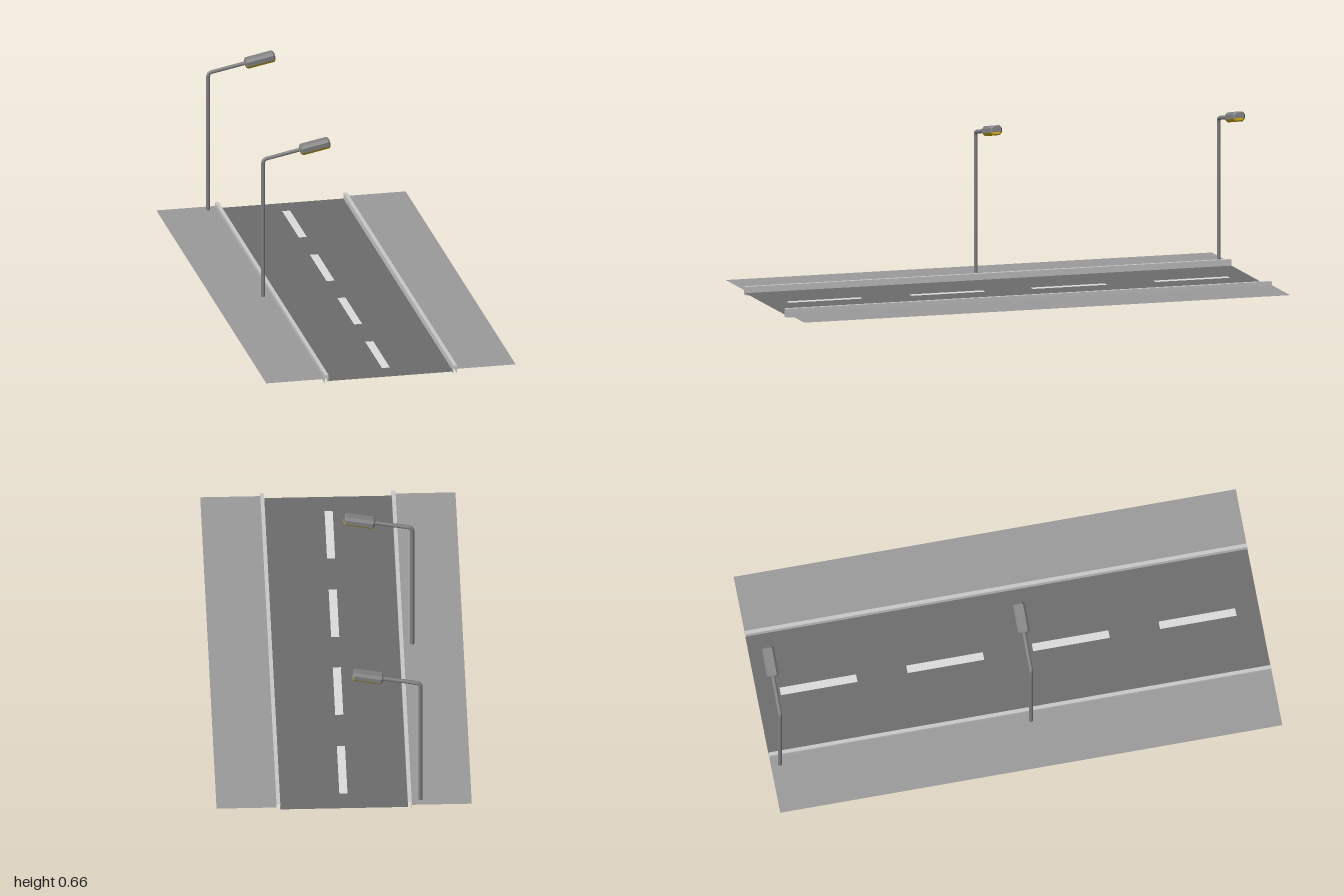
import * as THREE from 'three';

const mat = (name, color, extra = {}) => {
  const m = new THREE.MeshStandardMaterial({ color, ...extra });
  m.name = name;
  return m;
};

// Closed loft of a [y, z] section along x; stations are [x, scale]
function loft(section, stations) {
  const n = section.length, pos = [], idx = [];
  for (const [x, s] of stations) for (const [y, z] of section) pos.push(x, y * s, z * s);
  for (let i = 0; i < stations.length - 1; i++) {
    for (let j = 0; j < n; j++) {
      const a = i * n + j, b = i * n + (j + 1) % n;
      idx.push(a, b, a + n, b, b + n, a + n);
    }
  }
  const last = (stations.length - 1) * n;
  for (let j = 1; j < n - 1; j++) {
    idx.push(0, j + 1, j);
    idx.push(last, last + j, last + j + 1);
  }
  const g = new THREE.BufferGeometry();
  g.setAttribute('position', new THREE.Float32BufferAttribute(pos, 3));
  g.setIndex(idx);
  const flat = g.toNonIndexed();
  flat.computeVertexNormals();
  return flat;
}

export function createModel() {
  const model = new THREE.Group();
  const asphalt = mat('asphalt', 0x6c6c6c, { side: THREE.DoubleSide });
  const pavement = mat('pavement', 0x9a9a9a, { side: THREE.DoubleSide });
  const kerbStone = mat('kerb stone', 0xc8c8c8, { side: THREE.DoubleSide });
  const paint = mat('road paint', 0xdcdcdc);
  const metal = mat('lamp metal', 0x828282);
  const glow = mat('lamp lens', 0xd4b41c);

  const add = (parent, name, geometry, material, x = 0, y = 0, z = 0) => {
    const mesh = new THREE.Mesh(geometry, material);
    mesh.name = name;
    mesh.position.set(x, y, z);
    parent.add(mesh);
    return mesh;
  };
  const sheet = (w, d) => new THREE.PlaneGeometry(w, d).rotateX(-Math.PI / 2);

  // Road surface and centre line dashes
  add(model, 'road', sheet(0.5, 2), asphalt, 0, 0.01, 0);
  for (const z of [-0.755, -0.25, 0.25, 0.755]) {
    add(model, 'laneDash', sheet(0.032, 0.305), paint, 0, 0.012, z);
  }

  // Pavements, and kerbs as strips open at the ends and underneath
  for (const side of [-1, 1]) {
    add(model, 'pavement', sheet(0.235, 2), pavement, side * 0.3825, 0.02, 0);
    const kerb = new THREE.Group();
    kerb.name = 'kerb';
    add(kerb, 'kerbTop', sheet(0.015, 2), kerbStone, side * 0.2575, 0.035, 0);
    for (const [name, x, facing] of [['kerbInnerWall', 0.25, -side], ['kerbOuterWall', 0.265, side]]) {
      const wall = new THREE.PlaneGeometry(2, 0.035).rotateY(facing * Math.PI / 2);
      add(kerb, name, wall, kerbStone, side * x, 0.0175, 0);
    }
    model.add(kerb);
  }

  // Street lamps: post, bend, sloping arm, then a faceted head
  const P = (x, y) => new THREE.Vector3(x, y, 0);
  const r = 0.008;
  const bend = new THREE.QuadraticBezierCurve3(P(-0.3, 0.577), P(-0.3, 0.591), P(-0.286, 0.594));
  const arm = new THREE.LineCurve3(P(-0.286, 0.594), P(-0.13, 0.625));
  const upper = [[0.02, 0.015], [0.01, 0.024], [-0.008, 0.024], [-0.008, -0.024], [0.01, -0.024], [0.02, -0.015]];
  const lower = [[-0.008, 0.024], [-0.019, 0.014], [-0.019, -0.014], [-0.008, -0.024]];
  const stations = [[-0.06, 0.75], [-0.053, 1], [0.053, 1], [0.06, 0.75]];

  for (const z of [0.036, -0.964]) {
    const lamp = new THREE.Group();
    lamp.name = 'streetLamp';
    lamp.position.z = z;
    add(lamp, 'post', new THREE.CylinderGeometry(r, r, 0.567, 8), metal, -0.3, 0.2935, 0);
    add(lamp, 'bend', new THREE.TubeGeometry(bend, 4, r, 8), metal);
    add(lamp, 'arm', new THREE.TubeGeometry(arm, 1, r, 8), metal);
    const head = new THREE.Group();
    head.name = 'lampHead';
    head.position.set(-0.093, 0.63, 0);
    head.rotation.z = 0.197;
    add(head, 'housing', loft(upper, stations), metal);
    add(head, 'lens', loft(lower, stations), glow);
    lamp.add(head);
    model.add(lamp);
  }
  return model;
}
